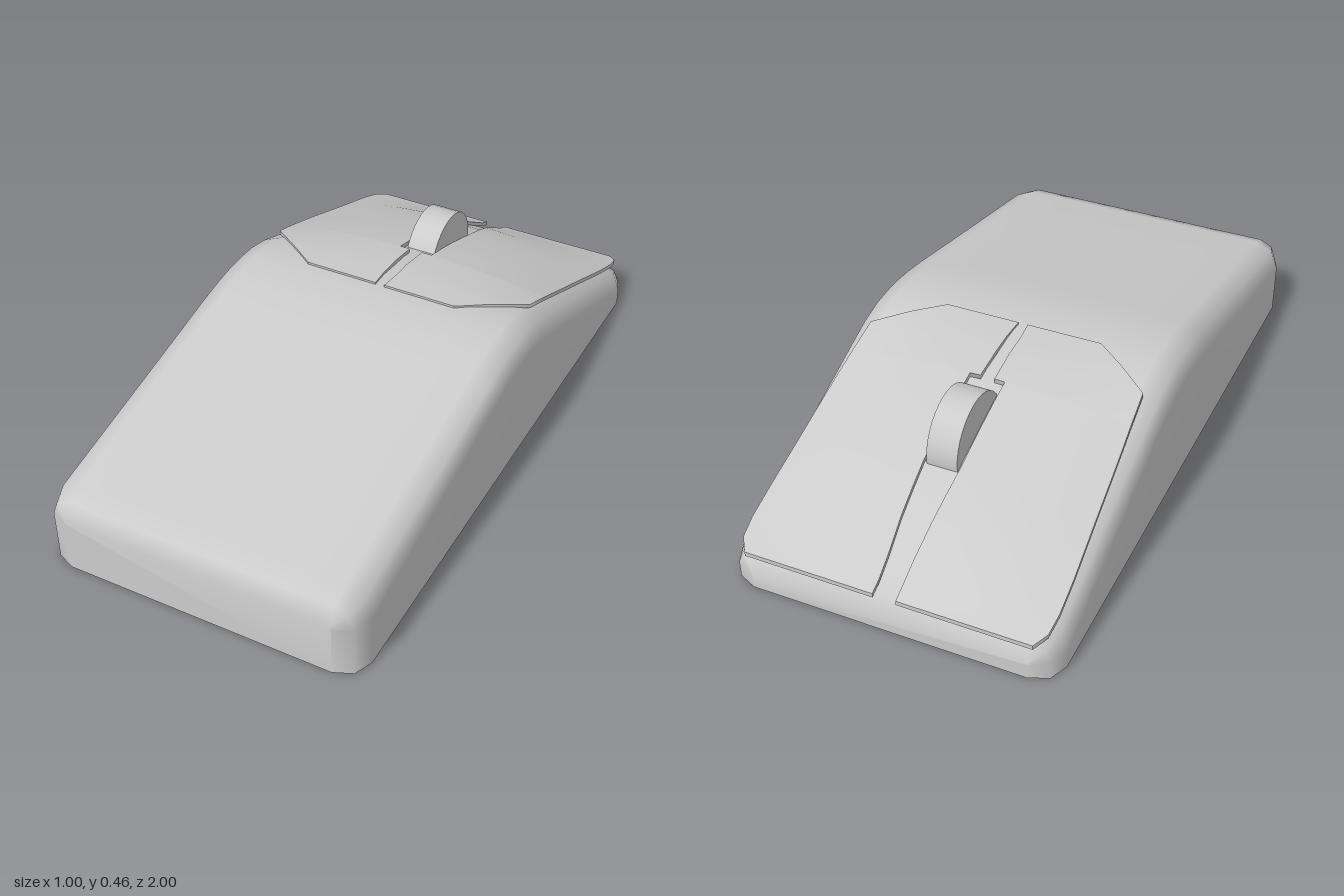
import * as THREE from 'three';

const material = new THREE.MeshStandardMaterial({ color: 0xcccccc, side: THREE.DoubleSide });

// Piecewise-linear lookup in a table of [z, value] rows, z falling
function lookup(table, z) {
  for (let i = 1; i < table.length; i++) {
    const [z0, v0] = table[i - 1], [z1, v1] = table[i];
    if (z >= z1) return z0 === z1 ? v1 : v0 + (v1 - v0) * Math.min(1, (z0 - z) / (z0 - z1));
  }
  return table[table.length - 1][1];
}

// Ridge height of the shell along its length
const ridge = [
  [1, 0.17], [0.976, 0.228], [0.92, 0.25], [0.5, 0.336], [0.16, 0.407], [0.08, 0.421],
  [0.02, 0.428], [-0.05, 0.431], [-0.12, 0.428], [-0.2, 0.411], [-0.3, 0.375], [-0.4, 0.337],
  [-0.5, 0.299], [-0.6, 0.261], [-0.7, 0.223], [-0.8, 0.185], [-0.92, 0.14], [-0.976, 0.105], [-1, 0.05],
];
// Extra crown along the middle, under the buttons
const crown = [
  [1, 0], [-0.1, 0], [-0.2, 0.008], [-0.3, 0.031], [-0.4, 0.043], [-0.5, 0.05], [-0.6, 0.054],
  [-0.7, 0.052], [-0.8, 0.043], [-0.92, 0.014], [-0.976, 0], [-1, 0],
];
const crownAt = (x, z) => lookup(crown, z) * Math.max(0, 1 - (x / 0.46) ** 2);

// Shell: cross-sections swept along z, open underneath
function makeBody() {
  const pos = [], index = [];
  const tops = [0.42, 0.28, 0.14, 0.05];
  let cols = 0;
  for (const [z, h] of ridge) {
    const a = Math.abs(z);
    const w = a > 0.99 ? 0.42 : a > 0.95 ? 0.476 : 0.5;
    const s = Math.min(h, lookup(ridge, THREE.MathUtils.clamp(z, -0.92, 0.92)) - 0.085);
    const half = [[w, 0], [w, s], [0.42 + (w - 0.42) * 0.7, s + (h - s) * 0.7]];
    for (const x of tops) half.push([x, h + (x < 0.42 ? crownAt(x, z) : 0)]);
    const section = [...half, ...half.map(([x, y]) => [-x, y]).reverse()];
    cols = section.length;
    for (const [x, y] of section) pos.push(x, y, z);
  }
  const rows = ridge.length;
  for (let i = 0; i < rows - 1; i++) {
    for (let j = 0; j < cols - 1; j++) {
      const a = i * cols + j, b = a + 1, c = a + cols, d = c + 1;
      index.push(a, c, b, b, c, d);
    }
  }
  // End walls
  const last = (rows - 1) * cols;
  for (let j = 1; j < cols - 1; j++) {
    index.push(0, j, j + 1);
    index.push(last, last + j + 1, last + j);
  }
  const g = new THREE.BufferGeometry();
  g.setAttribute('position', new THREE.Float32BufferAttribute(pos, 3));
  g.setIndex(index);
  g.computeVertexNormals();
  return g;
}

// Button outline: z, inner x, outer x
const outline = [
  [-0.09, 0.015, 0.25], [-0.16, 0.02, 0.342], [-0.235, 0.02, 0.437], [-0.34, 0.022, 0.443],
  [-0.341, 0.055, 0.443], [-0.42, 0.055, 0.448], [-0.5, 0.055, 0.452], [-0.64, 0.055, 0.458],
  [-0.72, 0.05, 0.462], [-0.8, 0.045, 0.466], [-0.9, 0.037, 0.468], [-0.96, 0.035, 0.462], [-1, 0.035, 0.435],
];
// Button top along z, without the crown
const buttonTop = [
  [-0.09, 0.437], [-0.16, 0.428], [-0.235, 0.412], [-0.34, 0.374], [-0.5, 0.314], [-0.64, 0.261], [-0.8, 0.2], [-1, 0.127],
];

// Thin plate: a box grid bent over the shell
function makeButton(side) {
  const n = outline.length - 1;
  const g = new THREE.BoxGeometry(1, 1, 1, 8, 1, n);
  const p = g.attributes.position;
  for (let i = 0; i < p.count; i++) {
    const [z, inner, outer] = outline[Math.round((0.5 - p.getZ(i)) * n)];
    const u = p.getX(i) * side + 0.5;
    const x = inner + (outer - inner) * u;
    const y = lookup(buttonTop, z) + crownAt(x, z) - (p.getY(i) < 0 ? 0.014 : 0);
    p.setXYZ(i, side * x, y, z);
  }
  g.computeVertexNormals();
  return g;
}

export function createModel() {
  const model = new THREE.Group();
  model.name = 'computerMouse';
  const add = (name, geometry) => {
    const mesh = new THREE.Mesh(geometry, material);
    mesh.name = name;
    model.add(mesh);
    return mesh;
  };

  add('bodyShell', makeBody());
  add('leftButton', makeButton(1));
  add('rightButton', makeButton(-1));

  // Scroll wheel, half sunk into the shell
  const wheel = add('scrollWheel', new THREE.CylinderGeometry(0.14, 0.14, 0.095, 32).rotateZ(Math.PI / 2));
  wheel.position.set(0, 0.318, -0.5);

  return model;
}
